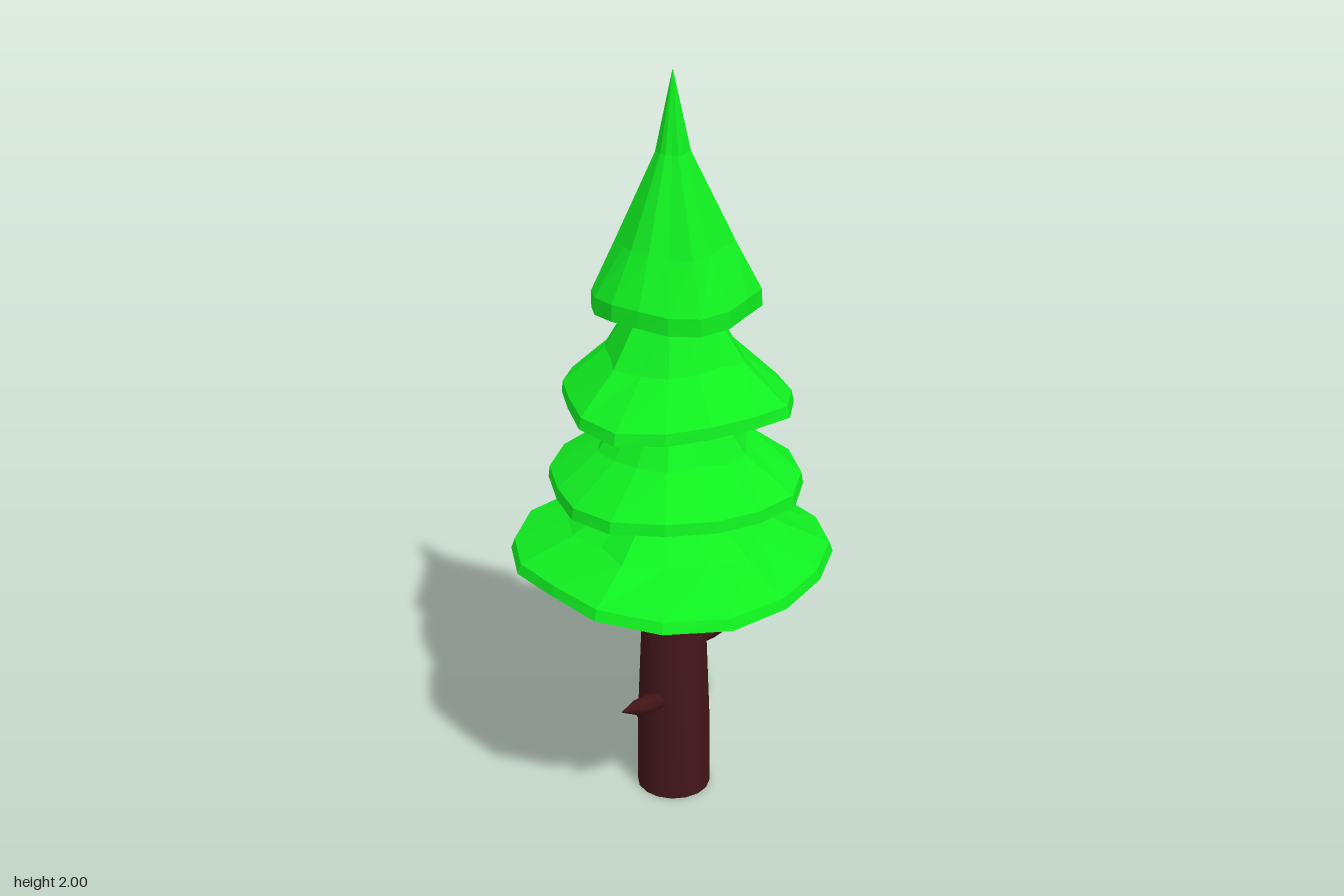
import * as THREE from 'three';

const leafMaterial = new THREE.MeshStandardMaterial({ color: 0x10ee20, flatShading: true });
const barkMaterial = new THREE.MeshStandardMaterial({ color: 0x421618 });

// Each tier: rim radius every 22.5 degrees from +x towards +z, then the outer
// and the hollow inner profile as [radius, height], both from rim to top.
const tiers = [
  {
    name: 'bottomFoliage',
    rim: [.42, .423, .42, .43, .45, .455, .445, .41, .425, .43, .44, .41, .455, .435, .425, .42],
    outer: [[.43, .715], [.42, .742], [.27, .80], [.20, .85], [.13, .92], [.065, 1.0]],
    inner: [[.40, .72], [.25, .775], [.16, .84], [.10, .92], [.05, .98]],
  },
  {
    name: 'lowerFoliage',
    rim: [.33, .34, .345, .33, .34, .35, .36, .34, .315, .325, .325, .335, .31, .345, .355, .325],
    outer: [[.335, .92], [.33, .95], [.20, 1.035], [.11, 1.16], [.06, 1.24]],
    inner: [[.31, .925], [.18, 1.01], [.09, 1.14], [.045, 1.22]],
  },
  {
    name: 'upperFoliage',
    rim: [.29, .31, .325, .305, .30, .31, .33, .31, .28, .285, .295, .305, .28, .31, .325, .295],
    outer: [[.30, 1.155], [.295, 1.185], [.18, 1.28], [.115, 1.39], [.05, 1.48]],
    inner: [[.275, 1.16], [.16, 1.25], [.09, 1.36], [.04, 1.46]],
  },
  {
    name: 'topFoliage',
    rim: [.22, .225, .205, .21, .21, .20, .19, .20, .205, .205, .195, .19, .19, .185, .205, .18],
    outer: [[.20, 1.40], [.20, 1.445], [.135, 1.57], [.04, 1.80], [.001, 2.0]],
    inner: [[.175, 1.41], [.11, 1.54], [.03, 1.75], [.001, 1.85]],
  },
];

// Hollow skirt of boughs with an uneven, gently drooping rim
function foliage({ name, rim, outer, inner }, seed) {
  const rings = [...inner].reverse().concat(outer);
  const base = outer[0][0];
  const top = outer[outer.length - 1][1];
  const n = rim.length;
  const positions = [];
  const indices = [];
  for (const [r, y] of rings) {
    const low = Math.max(0, 1 - (y - outer[0][1]) / (top - outer[0][1]));
    for (let j = 0; j < n; j++) {
      const a = j / n * Math.PI * 2;
      const ripple = r < base * .9 && r > .01 ? 1 + .07 * Math.sin(j * 2.4 + seed * 1.7) : 1;
      const radius = r * ripple * (1 + (rim[j] / base - 1) * low);
      const droop = .008 * low * Math.sin(j * 1.18 + seed * 2);
      positions.push(radius * Math.cos(a), y + droop, radius * Math.sin(a));
    }
  }
  for (let i = 0; i < rings.length - 1; i++) {
    for (let j = 0; j < n; j++) {
      const k = (j + 1) % n;
      const a = i * n + j, b = a + n, c = i * n + k, d = c + n;
      indices.push(a, b, c, c, b, d);
    }
  }
  const geometry = new THREE.BufferGeometry();
  geometry.setAttribute('position', new THREE.Float32BufferAttribute(positions, 3));
  geometry.setIndex(indices);
  geometry.computeVertexNormals();
  const mesh = new THREE.Mesh(geometry, leafMaterial);
  mesh.name = name;
  return mesh;
}

// Broken branch: slim at the collar, thicker in the middle, pointed at the tip
function branch(from, to) {
  const start = new THREE.Vector3(...from);
  const dir = new THREE.Vector3(...to).sub(start);
  const length = dir.length();
  const profile = [[.018, 0], [.026, .35], [.022, .6], [.001, 1]]
    .map(([r, t]) => new THREE.Vector2(r, t * length));
  const mesh = new THREE.Mesh(new THREE.LatheGeometry(profile, 8), barkMaterial);
  mesh.position.copy(start);
  mesh.quaternion.setFromUnitVectors(new THREE.Vector3(0, 1, 0), dir.normalize());
  mesh.name = 'brokenBranch';
  return mesh;
}

export function createModel() {
  const tree = new THREE.Group();
  tree.name = 'pineTree';

  // Tapering trunk running up through the hollow tiers
  const profile = [[.1, 0], [.098, .22], [.088, .47], [.073, .68], [.06, 1.0], [.035, 1.44]]
    .map(([r, y]) => new THREE.Vector2(r, y));
  const trunk = new THREE.Mesh(new THREE.LatheGeometry(profile, 16), barkMaterial);
  trunk.name = 'trunk';
  trunk.position.z = .01;
  const base = new THREE.Mesh(new THREE.CircleGeometry(.1, 16), barkMaterial);
  base.name = 'trunkBase';
  base.rotation.x = Math.PI / 2;
  base.position.z = .01;
  tree.add(trunk, base);

  tree.add(
    branch([.03, .43, .015], [.23, .52, .02]),
    branch([-.05, .295, .06], [-.2, .35, .17]),
    branch([-.02, .165, -.04], [-.04, .09, -.25]),
    branch([-.04, .62, -.03], [-.12, .73, -.19]),
  );

  tiers.forEach((tier, i) => tree.add(foliage(tier, i)));
  return tree;
}
